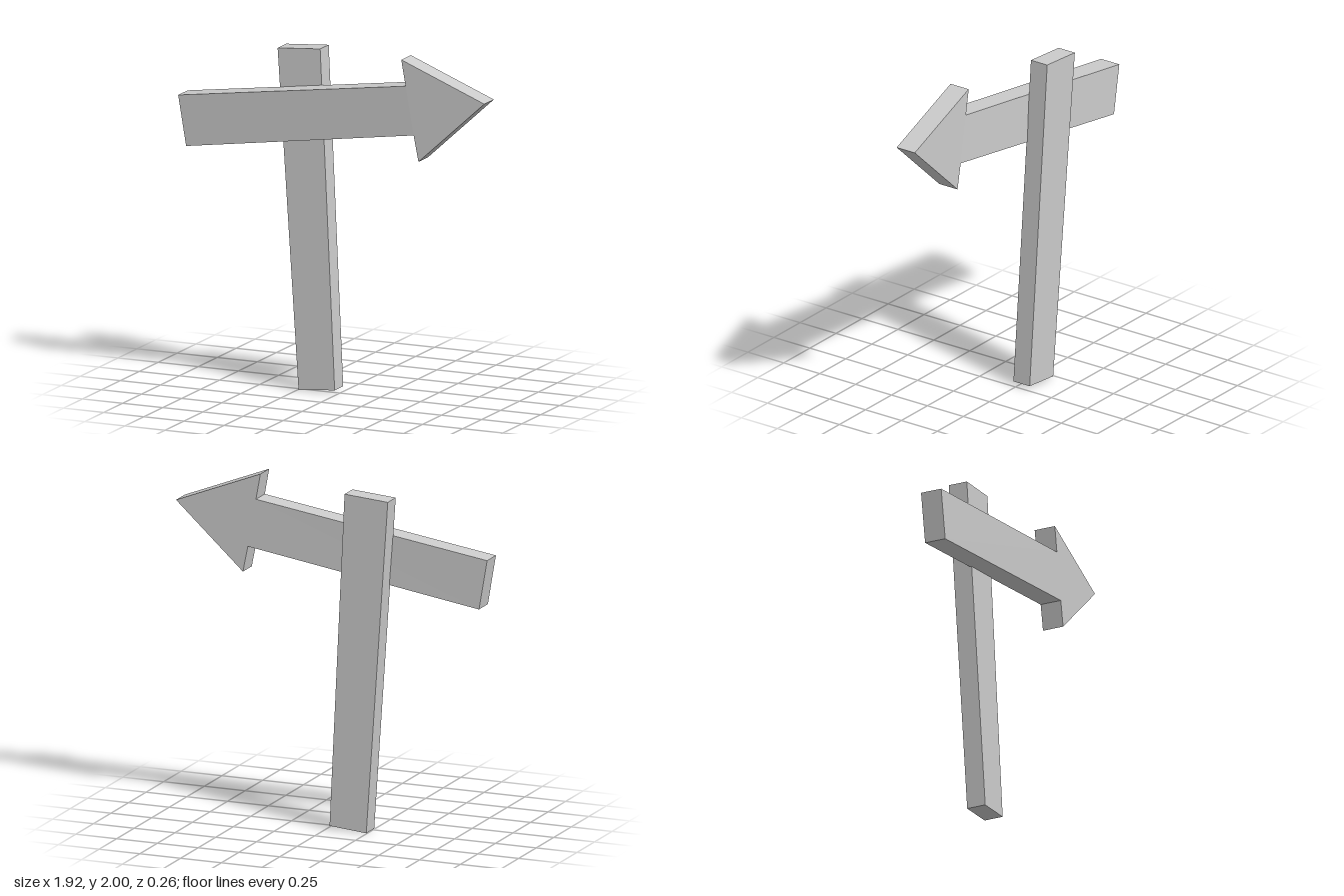
import * as THREE from 'three';

const grey = new THREE.MeshStandardMaterial({ color: 0xcccccc, flatShading: true });

// Moves every vertex of a geometry by a rule
function reshape(geometry, rule) {
  const pos = geometry.attributes.position;
  const v = new THREE.Vector3();
  for (let i = 0; i < pos.count; i++) {
    rule(v.fromBufferAttribute(pos, i));
    pos.setXYZ(i, v.x, v.y, v.z);
  }
  geometry.computeVertexNormals();
  return geometry;
}

// Leaning post, slightly wider at the top
function makePost() {
  const geometry = reshape(new THREE.BoxGeometry(1, 1, 1), (v) => {
    const top = v.y > 0;
    const side = v.x;
    v.x = top ? -0.262 + side * 0.265 : -0.132 + side * 0.225;
    v.y = (top ? 1.965 : 0.01) + side * 0.02;
    v.z = (top ? -0.07 : -0.028) + v.z * 0.113;
  });
  const post = new THREE.Mesh(geometry, grey);
  post.name = 'post';
  return post;
}

// Tilted arrow board, its tail swung slightly back towards the post
function makeArrow() {
  const outline = [
    [-0.96, 1.65], [-0.91, 1.36], [0.52, 1.57], [0.55, 1.42],
    [0.96, 1.795], [0.443, 2.0], [0.47, 1.85],
  ].map(([x, y]) => new THREE.Vector2(x, y));
  const geometry = new THREE.ExtrudeGeometry(new THREE.Shape(outline), {
    depth: 0.126, bevelEnabled: false,
  });
  reshape(geometry, (v) => {
    v.z += 0.004 + Math.min(0, v.x - 0.44) * 0.021;
  });
  const arrow = new THREE.Mesh(geometry, grey);
  arrow.name = 'arrowBoard';
  return arrow;
}

export function createModel() {
  const sign = new THREE.Group();
  sign.name = 'signpost';
  sign.add(makePost(), makeArrow());
  return sign;
}
